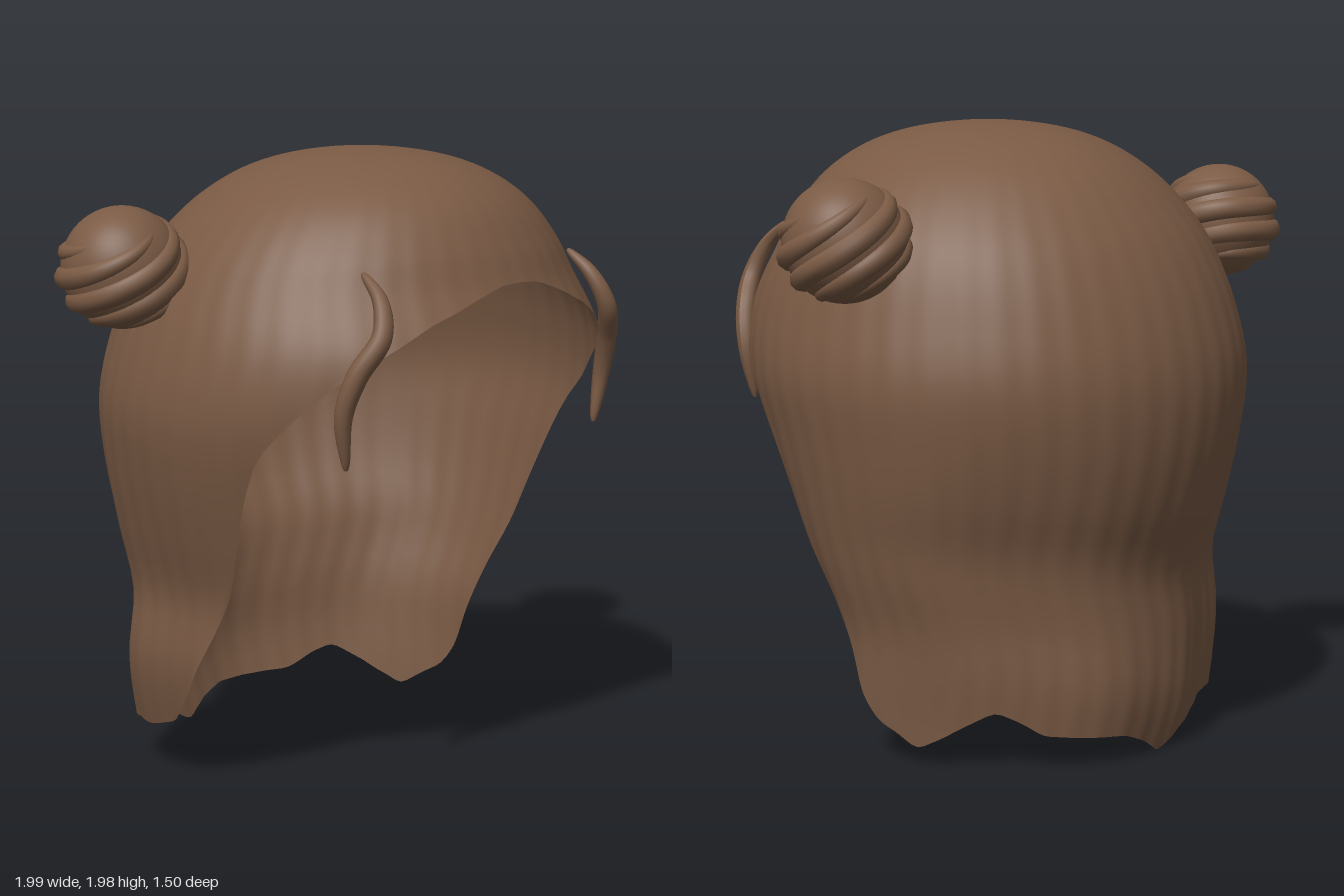
import * as THREE from 'three';

const brown = new THREE.MeshStandardMaterial({ color: 0x7a5a44, side: THREE.DoubleSide });
brown.name = 'brown hair';

const TOP = 1.99;

// Horizontal sections of the hair: y, right reach (+x), left reach (-x), front z, back z
const SECTIONS = [
  [1.99, 0, 0, 0.1, 0.1], [1.95, 0.3, 0.3, 0.41, -0.2], [1.85, 0.5, 0.5, 0.6, -0.4],
  [1.7, 0.65, 0.65, 0.71, -0.55], [1.6, 0.71, 0.71, 0.755, -0.62], [1.4, 0.78, 0.79, 0.86, -0.705],
  [1.2, 0.81, 0.82, 0.85, -0.745], [1.0, 0.78, 0.79, 0.79, -0.73], [0.8, 0.74, 0.74, 0.72, -0.68],
  [0.6, 0.69, 0.69, 0.64, -0.61], [0.4, 0.63, 0.71, 0.59, -0.61], [0.2, 0.615, 0.67, 0.58, -0.625],
  [0, 0.6, 0.6, 0.57, -0.59],
];

// Height of the cut edge by angle in degrees, from the front round by +x
const HEM = [
  [0, 1.605], [7, 1.6], [15, 1.57], [30, 1.5], [48, 1.37], [57, 1.26], [67, 1.1], [71, 0.9],
  [75, 0.7], [81, 0.5], [88, 0.3], [92, 0.21], [97, 0.14], [104, 0.1], [111, 0.055], [120, 0.1],
  [135, 0.19], [142, 0.16], [150, 0.11], [175, 0.09], [185, 0.05], [193, 0], [205, 0.07],
  [220, 0.13], [233, 0.13], [240, 0.17], [250, 0.16], [262, 0.2], [270, 0.32], [278, 0.5],
  [285, 0.7], [289, 0.9], [293, 1.1], [303, 1.26], [312, 1.37], [330, 1.5], [345, 1.57],
  [353, 1.6], [360, 1.605],
];

function hemHeight(deg) {
  const at = (d) => {
    d = (d + 360) % 360;
    let i = 0;
    while (i < HEM.length - 2 && HEM[i + 1][0] <= d) i++;
    const [d0, y0] = HEM[i], [d1, y1] = HEM[i + 1];
    return y0 + ((y1 - y0) * (d - d0)) / (d1 - d0);
  };
  return (at(deg - 2) + 2 * at(deg) + at(deg + 2)) / 4;
}

// Open shell from the crown down to the wavy cut edge
function hairShell() {
  const around = 360, down = 56;
  const section = new THREE.CubicInterpolant(
    SECTIONS.map((s) => Math.sqrt(TOP - s[0])), SECTIONS.flatMap((s) => s.slice(1)), 4);
  const positions = [], index = [];
  for (let j = 0; j <= down; j++) {
    for (let i = 0; i < around; i++) {
      const a = (i / around) * Math.PI * 2;
      const q = (Math.sqrt(TOP - hemHeight((i / around) * 360)) * j) / down;
      const y = TOP - q * q;
      const low = 1 - THREE.MathUtils.smoothstep(y, 0.2, 1.3);
      const [xr, xl] = section.evaluate(q);
      // the waist runs at a slant across the back, higher towards +x
      const slanted = THREE.MathUtils.clamp(y - 0.16 * low * Math.sin(a), 0, TOP);
      const [, , zf, zb] = section.evaluate(Math.sqrt(TOP - slanted));
      // folds deepen towards the ends, strongest on the -x rear
      const rear = Math.exp(-Math.pow((a - 3.95) / 0.5, 2));
      const fold = 1 + low * (0.01 * Math.sin(9 * a + 1.5 * y) + 0.016 * Math.sin(5 * a - 2 * y)
        + 0.035 * rear * Math.sin(7 * (a - 3.95))) + 0.002 * Math.sin(44 * a) * Math.min(1, q);
      positions.push(
        (xr - xl) / 2 + ((xr + xl) / 2) * Math.sin(a) * fold, y,
        (zf + zb) / 2 + ((zf - zb) / 2) * Math.cos(a) * fold);
      if (j < down) {
        const n = (i + 1) % around, p = j * around + i, r = j * around + n;
        if (j > 0) index.push(p, p + around, r);
        index.push(r, p + around, r + around);
      }
    }
  }
  const geometry = new THREE.BufferGeometry();
  geometry.setAttribute('position', new THREE.Float32BufferAttribute(positions, 3));
  geometry.setIndex(index);
  geometry.computeVertexNormals();
  return geometry;
}

// Tube along a curve, narrowing to both ends
function strand(points, radius, segments, tip = 0.1) {
  const curve = new THREE.CatmullRomCurve3(points);
  const sides = 10;
  const geometry = new THREE.TubeGeometry(curve, segments, radius, sides);
  const pos = geometry.attributes.position;
  const v = new THREE.Vector3();
  for (let i = 0; i <= segments; i++) {
    const c = curve.getPointAt(i / segments);
    const k = tip + (1 - tip) * Math.pow(Math.sin((Math.PI * i) / segments), 0.6);
    for (let s = 0; s <= sides; s++) {
      const n = i * (sides + 1) + s;
      v.fromBufferAttribute(pos, n).sub(c).multiplyScalar(k).add(c);
      pos.setXYZ(n, v.x, v.y, v.z);
    }
  }
  geometry.computeVertexNormals();
  return geometry;
}

function add(parent, name, geometry) {
  const mesh = new THREE.Mesh(geometry, brown);
  mesh.name = name;
  parent.add(mesh);
}

// Round bun wrapped in spiralling strands, leaning outwards
function bun(side) {
  const group = new THREE.Group();
  group.name = side > 0 ? 'leftBun' : 'rightBun';
  add(group, 'bunCore', new THREE.SphereGeometry(0.188, 40, 28));
  const wraps = 4, r = 0.172;
  for (let w = 0; w < wraps; w++) {
    const points = [];
    for (let i = 0; i <= 24; i++) {
      const t = i / 24;
      const lat = THREE.MathUtils.lerp(-1.2, 0.85, t);
      const lon = (w / wraps + t * 1.1) * Math.PI * 2;
      points.push(new THREE.Vector3(
        -r * Math.cos(lat) * Math.cos(lon), r * Math.sin(lat), r * Math.cos(lat) * Math.sin(lon)));
    }
    add(group, 'bunStrand', strand(points, 0.039, 90));
  }
  group.position.set(side * 0.787, 1.645, -0.168);
  group.rotation.set(0.1, 0, -side * 0.3);
  return group;
}

// Loose lock curling over the edge of the opening
function lock(side) {
  const path = [
    [0.488, 1.655, 0.55], [0.505, 1.58, 0.635], [0.54, 1.48, 0.672],
    [0.598, 1.37, 0.63], [0.62, 1.25, 0.595], [0.597, 1.085, 0.583],
  ];
  return strand(path.map(([x, y, z]) => new THREE.Vector3(side * x, y, z)), 0.033, 48, 0.2);
}

export function createModel() {
  const model = new THREE.Group();
  model.name = 'hair';
  add(model, 'hairShell', hairShell());
  for (const side of [1, -1]) {
    model.add(bun(side));
    add(model, side > 0 ? 'leftLock' : 'rightLock', lock(side));
  }
  return model;
}
